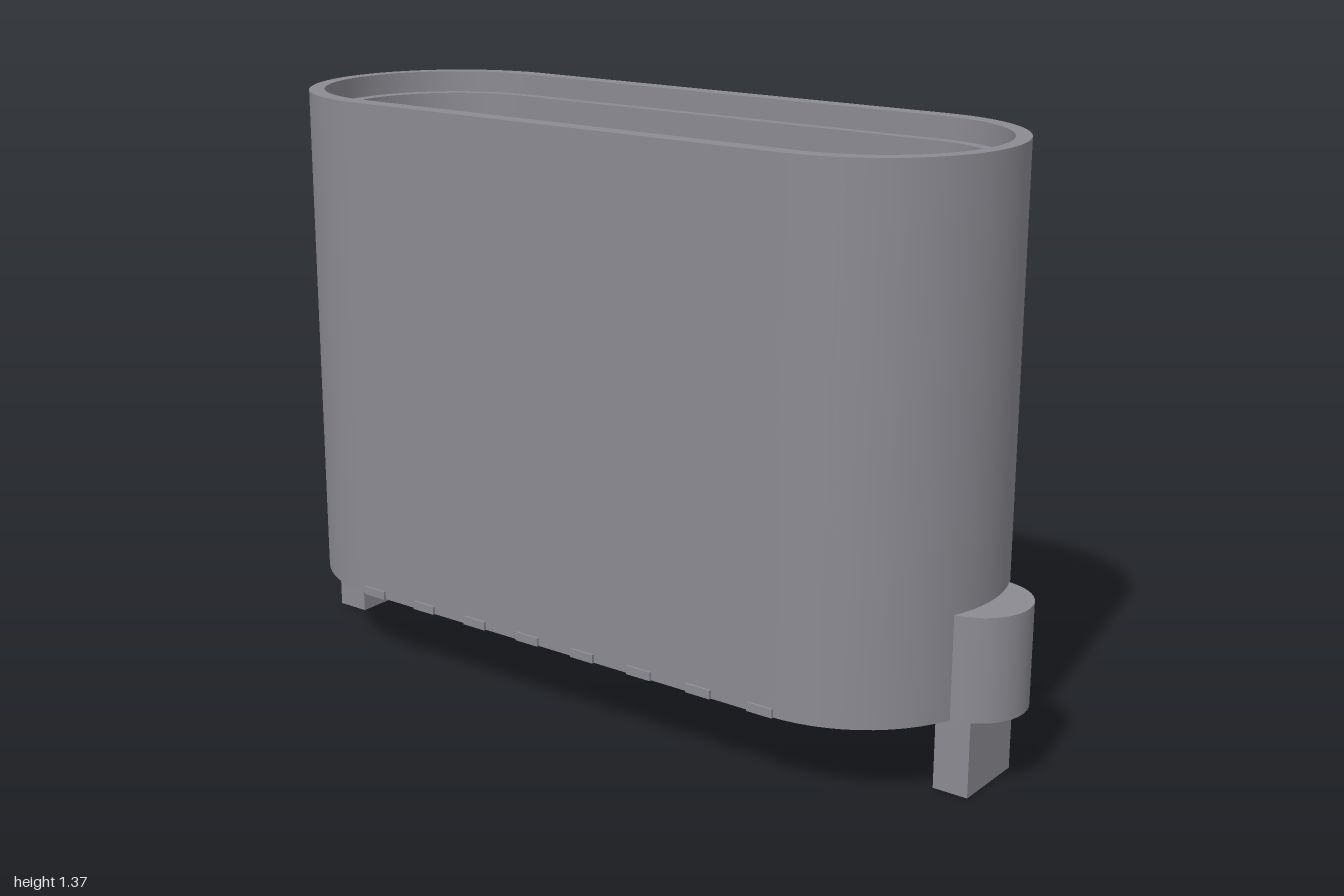
import * as THREE from 'three';
import { toCreasedNormals } from 'three/addons/utils/BufferGeometryUtils.js';

const BOTTOM = 0.18, TOP = 1.37, FLOOR = 0.23, LEDGE = 1.32;
const ARC = 32;

// Points round a stadium outline: half straight length c, end radius r
function stadium(c, r) {
  const pts = [];
  for (const side of [1, -1]) {
    for (let i = 0; i <= ARC; i++) {
      const a = -Math.PI / 2 + (Math.PI * i) / ARC;
      pts.push([side * (c + r * Math.cos(a)), side * r * Math.sin(a)]);
    }
  }
  return pts;
}

// Skin a list of [c, r, y] stadium rings
function loft(rings) {
  const pos = [], index = [];
  const n = 2 * (ARC + 1);
  for (const [c, r, y] of rings) {
    for (const [x, z] of stadium(c, r)) pos.push(x, y, z);
  }
  for (let k = 0; k < rings.length - 1; k++) {
    for (let i = 0; i < n; i++) {
      const a = k * n + i, b = k * n + ((i + 1) % n);
      if (rings[k][1] > 0) index.push(a, a + n, b);
      if (rings[k + 1][1] > 0) index.push(b, a + n, b + n);
      else if (rings[k][1] > 0 && i % (ARC + 1) === ARC) index.push(b, a + n, b + n);
      if (rings[k][1] === 0 && i % (ARC + 1) === ARC) index.push(a, a + n, b);
    }
  }
  const g = new THREE.BufferGeometry();
  g.setAttribute('position', new THREE.Float32BufferAttribute(pos, 3));
  g.setIndex(index);
  return toCreasedNormals(g, Math.PI / 6);
}

export function createModel() {
  const model = new THREE.Group();
  const grey = new THREE.MeshStandardMaterial({ color: 0x8a8a91 });
  grey.name = 'grey plastic';

  function add(name, geometry, x = 0, y = 0, z = 0) {
    const mesh = new THREE.Mesh(geometry, grey);
    mesh.name = name;
    mesh.position.set(x, y, z);
    model.add(mesh);
    return mesh;
  }

  // Hollow container: underside, outer wall, rim, stepped ledge, inner wall, floor
  add('container', loft([
    [0.582, 0, BOTTOM],
    [0.582, 0.333, BOTTOM],
    [0.582, 0.333, TOP],
    [0.593, 0.289, TOP],
    [0.593, 0.289, LEDGE],
    [0.588, 0.263, LEDGE],
    [0.588, 0.263, FLOOR],
    [0.588, 0, FLOOR],
  ]));

  // Rectangular pad on the inside floor
  add('floorPad', new THREE.BoxGeometry(0.49, 0.02, 0.145), 0, FLOOR + 0.01, 0);

  // Rounded bosses and square feet at both ends
  for (const side of [1, -1]) {
    const label = side > 0 ? 'left' : 'right';
    const boss = new THREE.CylinderGeometry(0.12, 0.12, 0.235, 48, 1, false, 0, Math.PI);
    add(label + 'Boss', boss, side * 0.88, BOTTOM + 0.1175, 0).rotation.y = side > 0 ? 0 : Math.PI;
    add(label + 'Foot', new THREE.BoxGeometry(0.083, BOTTOM, 0.186), side * 0.886, BOTTOM / 2, 0);
  }

  // Small snap nubs along the bottom edge of both long walls
  for (const side of [1, -1]) {
    for (let i = 0; i < 8; i++) {
      add('snapNub', new THREE.BoxGeometry(0.064, 0.02, 0.02), (i - 3.5) * 0.16, BOTTOM + 0.01, side * 0.329);
    }
  }
  return model;
}
